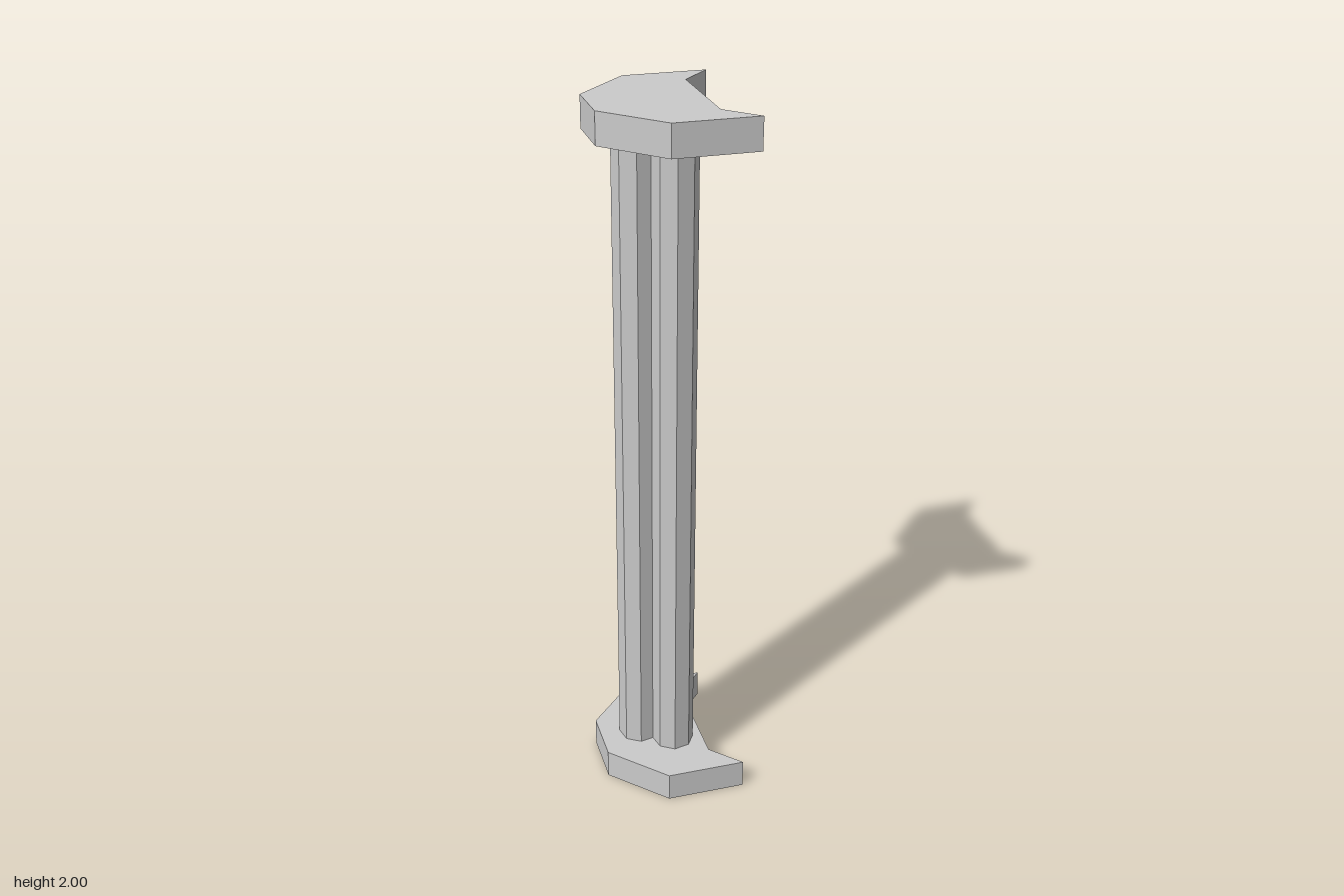
import * as THREE from 'three';

const HEIGHT = 2;
const PLATE = 0.085;

export function createModel() {
  const model = new THREE.Group();
  model.name = 'clusteredPillar';
  const material = new THREE.MeshStandardMaterial({ color: 0xcccccc, flatShading: true });

  // Notched end plate outline: one half, then its mirror
  const half = [[0.105, 0.145], [0.185, 0.228], [-0.04, 0.228], [-0.185, 0.078]];
  const mirrored = half.map(([x, z]) => [x, -z]).reverse();
  const outline = new THREE.Shape([...half, ...mirrored].map(([x, z]) => new THREE.Vector2(x, z)));
  const plateGeometry = new THREE.ExtrudeGeometry(outline, { depth: PLATE, bevelEnabled: false });
  plateGeometry.rotateX(-Math.PI / 2);

  for (const [name, y] of [['basePlate', 0], ['topPlate', HEIGHT - PLATE]]) {
    const plate = new THREE.Mesh(plateGeometry, material);
    plate.name = name;
    plate.position.y = y;
    model.add(plate);
  }

  // Three octagonal shafts, slightly turned, between the plates
  const shaftGeometry = new THREE.CylinderGeometry(0.06, 0.06, HEIGHT - 2 * PLATE, 8);
  shaftGeometry.rotateY(THREE.MathUtils.degToRad(-10));
  const shafts = [['frontShaft', 0.02, 0.057], ['backShaft', 0.02, -0.065], ['sideShaft', -0.067, -0.004]];
  for (const [name, x, z] of shafts) {
    const shaft = new THREE.Mesh(shaftGeometry, material);
    shaft.name = name;
    shaft.position.set(x, HEIGHT / 2, z);
    model.add(shaft);
  }

  return model;
}
